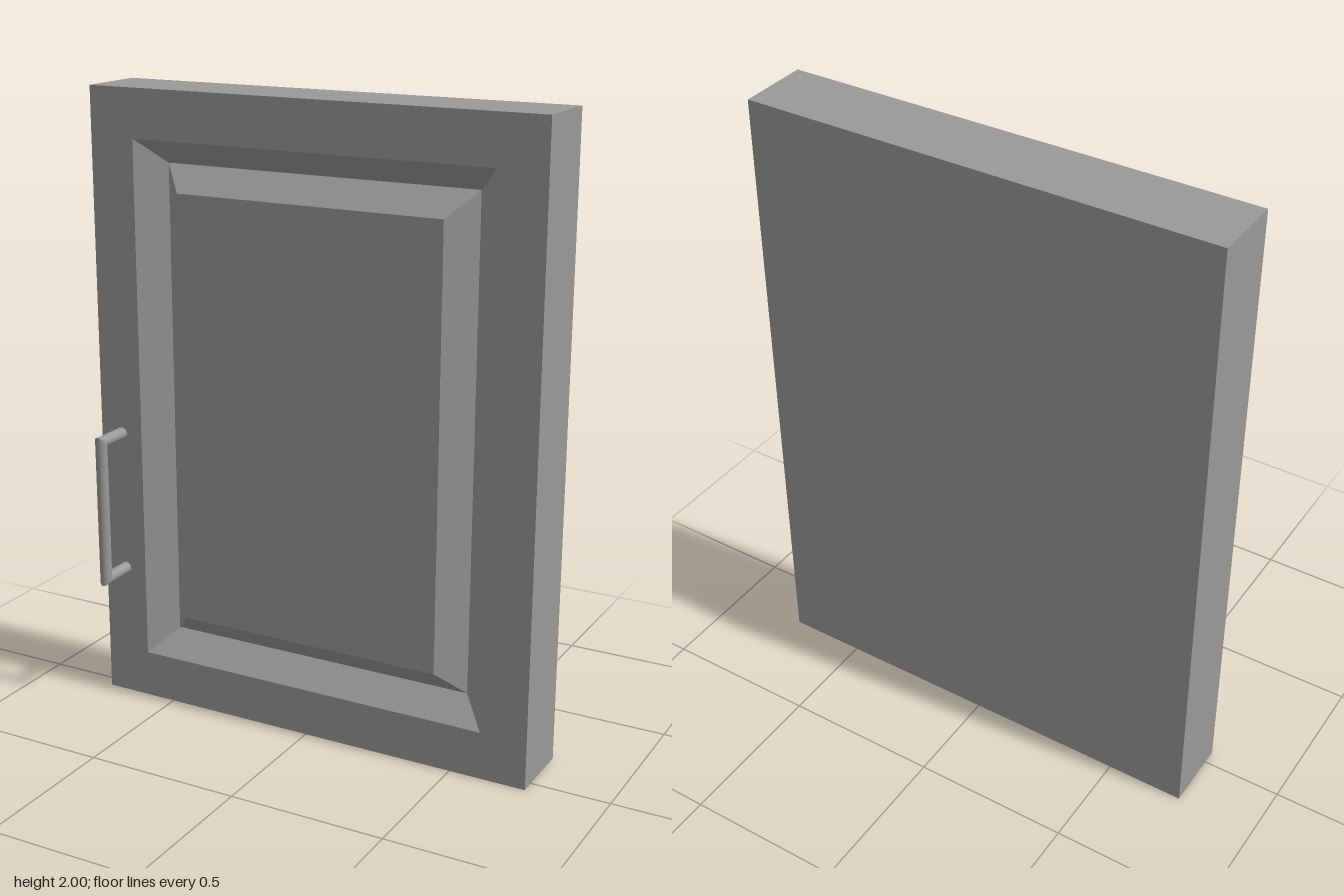
import * as THREE from 'three';

const material = new THREE.MeshStandardMaterial({ color: 0x999999 });
const BACK = -0.18, FRONT = 0.047, GROOVE = -0.031;

// Rectangle corners, counter-clockwise seen from the front
const rect = (x, y0, y1, z) => [[-x, y0, z], [x, y0, z], [x, y1, z], [-x, y1, z]];

function quadMesh(name, quads) {
  const points = quads.flatMap(([a, b, c, d]) => [a, b, c, a, c, d]).flat();
  const geometry = new THREE.BufferGeometry();
  geometry.setAttribute('position', new THREE.Float32BufferAttribute(points, 3));
  geometry.computeVertexNormals();
  const mesh = new THREE.Mesh(geometry, material);
  mesh.name = name;
  return mesh;
}

// Four mitred faces joining one rectangle to the next
const band = (a, b) => a.map((p, i) => [p, a[(i + 1) % 4], b[(i + 1) % 4], b[i]]);

// Round bar with mitred corners: two legs and a grip
function createHandle(x, yBottom, yTop, zAxis, radius, sides = 20) {
  const handle = new THREE.Group();
  handle.name = 'handle';
  const sections = [
    (u, v) => [x + u, yTop + v, FRONT],
    (u, v) => [x + u, yTop + v, zAxis + v],
    (u, v) => [x + u, yBottom - v, zAxis + v],
    (u, v) => [x + u, yBottom - v, FRONT],
  ];
  const normalOf = [(c, s) => [c, s, 0], (c, s) => [c, 0, s], (c, s) => [c, -s, 0]];
  ['handleTopLeg', 'handleGrip', 'handleBottomLeg'].forEach((name, k) => {
    const position = [], normal = [], index = [];
    for (let i = 0; i <= sides; i++) {
      const a = (i / sides) * Math.PI * 2, c = Math.cos(a), s = Math.sin(a);
      for (const section of [sections[k], sections[k + 1]]) {
        position.push(...section(c * radius, s * radius));
        normal.push(...normalOf[k](c, s));
      }
      const n = i * 2;
      if (i < sides) index.push(n, n + 2, n + 1, n + 1, n + 2, n + 3);
    }
    const geometry = new THREE.BufferGeometry();
    geometry.setAttribute('position', new THREE.Float32BufferAttribute(position, 3));
    geometry.setAttribute('normal', new THREE.Float32BufferAttribute(normal, 3));
    geometry.setIndex(index);
    const mesh = new THREE.Mesh(geometry, material);
    mesh.name = name;
    handle.add(mesh);
  });
  return handle;
}

export function createModel() {
  const model = new THREE.Group();
  model.name = 'cabinetDoor';

  const back = rect(0.748, 0, 2, BACK);
  const front = rect(0.748, 0, 2, FRONT);
  const grooveOuter = rect(0.597, 0.153, 1.847, FRONT);
  const grooveFloor = rect(0.519, 0.231, 1.77, GROOVE);
  const panel = rect(0.441, 0.309, 1.693, FRONT);

  // Slab back, sides and front border
  model.add(quadMesh('doorFrame', [[...back].reverse(), ...band(back, front), ...band(front, grooveOuter)]));
  // V-shaped groove around the raised panel
  model.add(quadMesh('groove', [...band(grooveOuter, grooveFloor), ...band(grooveFloor, panel)]));
  model.add(quadMesh('raisedPanel', [panel]));
  model.add(createHandle(-0.672, 0.441, 0.903, 0.161, 0.019));
  return model;
}
